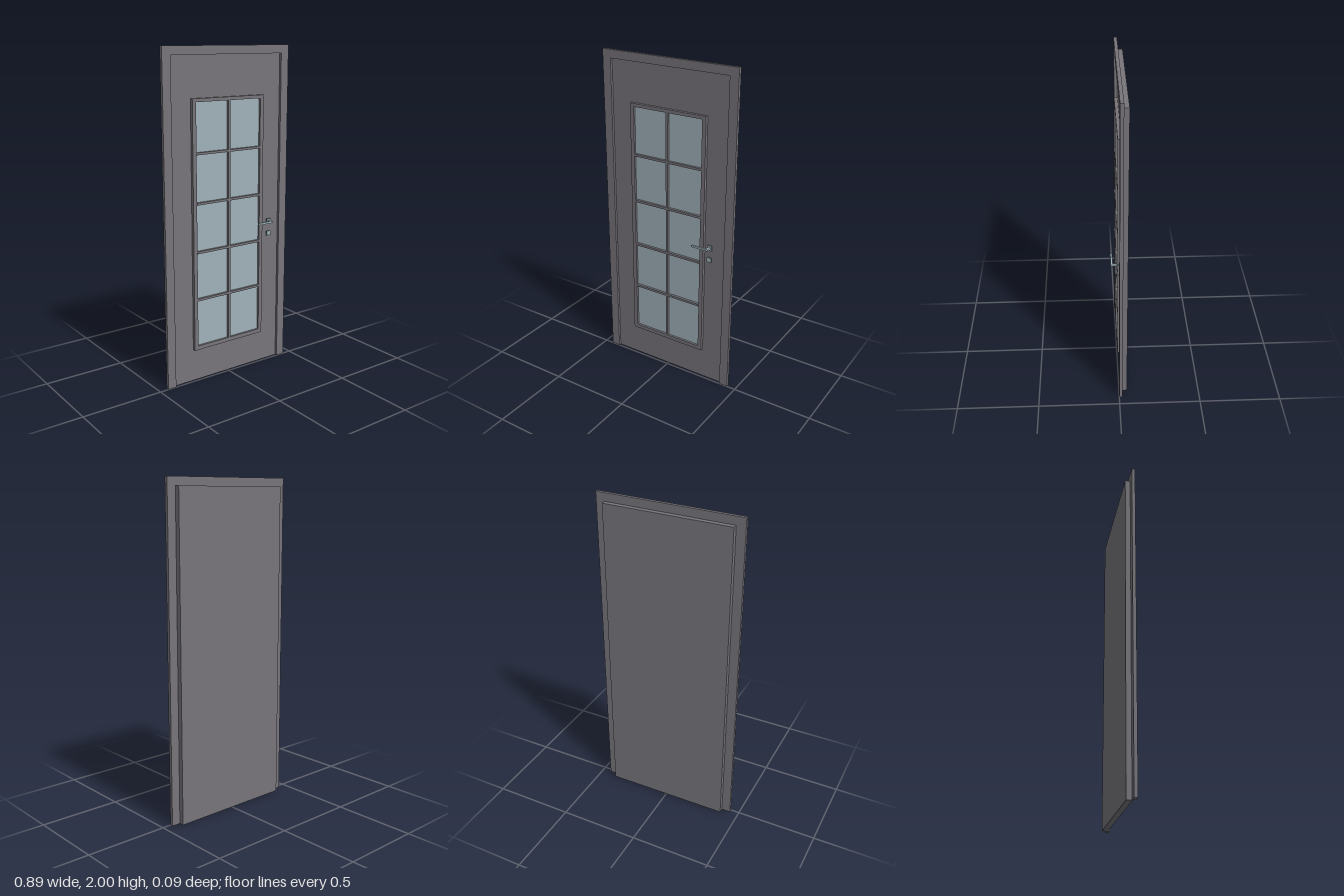
import * as THREE from 'three';

export function createModel() {
  const door = new THREE.Group();
  door.name = 'door';
  const paint = new THREE.MeshStandardMaterial({ color: 0x77757b });
  paint.name = 'grey paint';
  const glass = new THREE.MeshStandardMaterial({ color: 0xa0b2ba });
  glass.name = 'pale blue glass';
  const metal = new THREE.MeshStandardMaterial({ color: 0xa0b4bc });
  metal.name = 'satin metal';

  // Box given by its lower and upper limits on each axis
  function box(name, material, [x0, x1], [y0, y1], [z0, z1], parent = door) {
    const mesh = new THREE.Mesh(new THREE.BoxGeometry(x1 - x0, y1 - y0, z1 - z0), material);
    mesh.position.set((x0 + x1) / 2, (y0 + y1) / 2, (z0 + z1) / 2);
    mesh.name = name;
    parent.add(mesh);
    return mesh;
  }

  // Leaf, set back behind the casing
  const face = -0.015;
  box('leaf', paint, [-0.39, 0.39], [0, 1.95], [-0.05, face]);

  // Casing
  box('rightCasing', paint, [-0.445, -0.39], [0, 1.95], [-0.02, 0]);
  box('leftCasing', paint, [0.39, 0.445], [0, 1.95], [-0.02, 0]);
  box('headCasing', paint, [-0.445, 0.445], [1.95, 2], [-0.02, 0]);

  // Raised moulding around the window
  const window = new THREE.Group();
  window.name = 'window';
  door.add(window);
  const W = 0.23, Y0 = 0.225, Y1 = 1.69;
  const outline = new THREE.Shape([
    new THREE.Vector2(-0.255, 0.2), new THREE.Vector2(0.255, 0.2),
    new THREE.Vector2(0.255, 1.71), new THREE.Vector2(-0.255, 1.71),
  ]);
  outline.holes.push(new THREE.Path([
    new THREE.Vector2(-W, Y0), new THREE.Vector2(-W, Y1),
    new THREE.Vector2(W, Y1), new THREE.Vector2(W, Y0),
  ]));
  const moulding = new THREE.Mesh(
    new THREE.ExtrudeGeometry(outline, { depth: 0.019, bevelEnabled: false }), paint);
  moulding.position.z = face;
  moulding.name = 'windowMoulding';
  window.add(moulding);

  // Glass and glazing bars: two columns by five rows
  box('glass', glass, [-W, W], [Y0, Y1], [face, face + 0.006], window);
  const bar = 0.007, front = 0.006;
  box('uprightBar', paint, [-bar, bar], [Y0, Y1], [face, front], window);
  for (let i = 1; i < 5; i++) {
    const y = Y0 + (Y1 - Y0) * i / 5;
    box('crossBar', paint, [-W, W], [y - bar, y + bar], [face, front], window);
  }

  // Lever handle on a square rose, with the lock plate below
  const handle = new THREE.Group();
  handle.name = 'handle';
  door.add(handle);
  box('rose', metal, [0.284, 0.316], [0.913, 0.945], [0.006, 0.013], handle);
  box('neck', metal, [0.293, 0.308], [0.923, 0.935], [0.013, 0.045], handle);
  box('lever', metal, [0.197, 0.293], [0.923, 0.935], [0.034, 0.045], handle);
  box('lockPlate', metal, [0.285, 0.314], [0.838, 0.866], [0.006, 0.013], handle);

  // Thin spindles joining the fittings to the leaf
  for (const y of [0.929, 0.852]) {
    box('spindle', metal, [0.297, 0.303], [y - 0.003, y + 0.003], [face, 0.006], handle);
  }
  return door;
}
